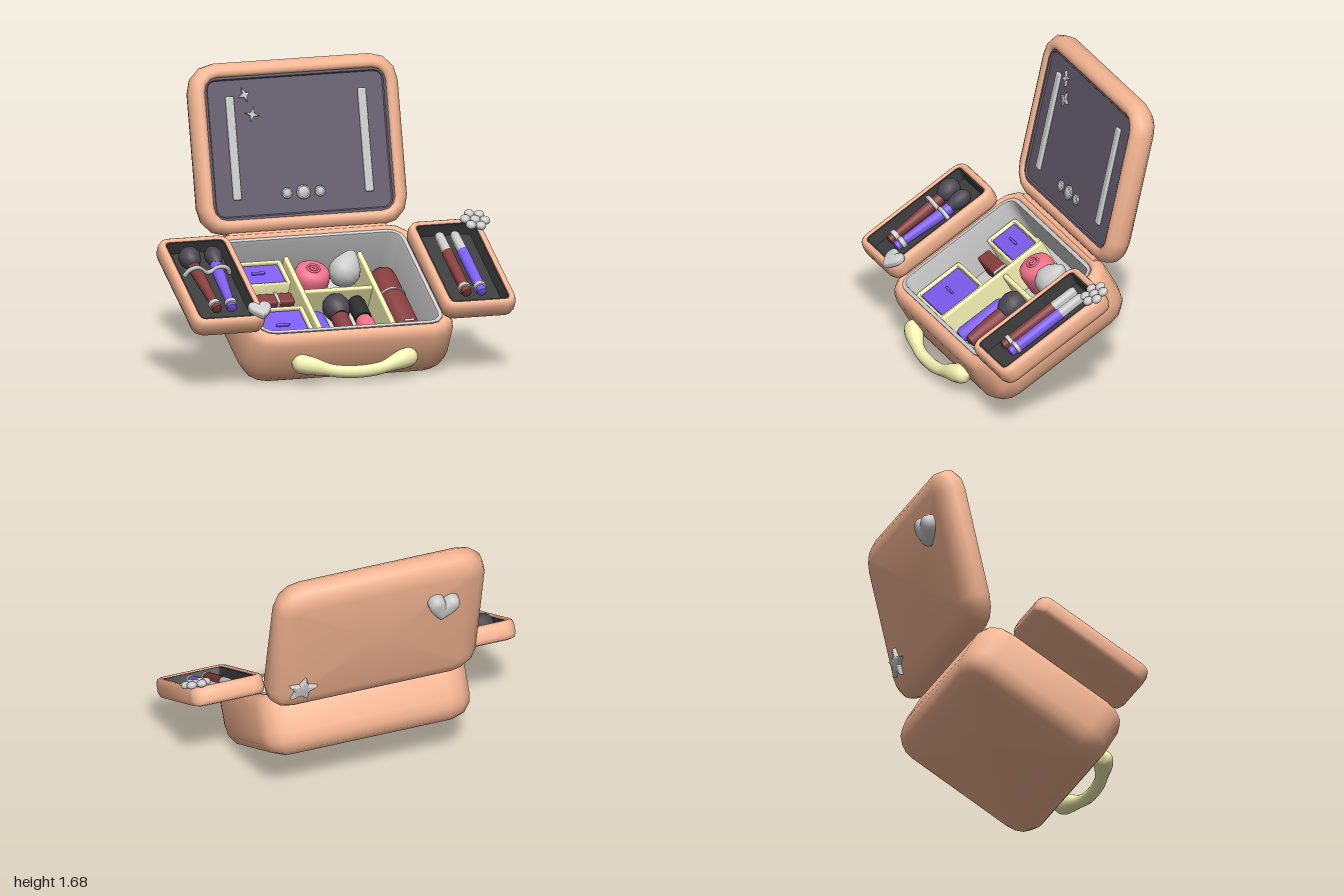
import * as THREE from 'three';
import { toCreasedNormals } from 'three/addons/utils/BufferGeometryUtils.js';
import { RoundedBoxGeometry } from 'three/addons/geometries/RoundedBoxGeometry.js';

const GREY = 0xcccccc, PEACH = 0xf5b592, CREAM = 0xf8f4b4, VIOLET = 0x7c5cf0, PINK = 0xf07088;
const BROWN = 0x853c3c, PLUM = 0x645c6c, CHARCOAL = 0x3c3c3c, BRISTLE = 0x4a4550, BLACK = 0x2c2c2c;
const CX = -0.025; // middle of the case

const materials = {};
function add(parent, name, geometry, color, x = 0, y = 0, z = 0) {
  materials[color] ??= new THREE.MeshStandardMaterial({ color, side: THREE.DoubleSide });
  const mesh = new THREE.Mesh(geometry, materials[color]);
  mesh.name = name;
  mesh.position.set(x, y, z);
  parent.add(mesh);
  return mesh;
}

// Stack of rounded rectangles, each level is [inset, height]; the last one is closed
function shell(w, d, r, levels, capBottom = true, crease = 0.9) {
  const pos = [], idx = [], seg = 3, n = 4 * (seg + 1);
  for (const [inset, y] of levels) {
    const rad = Math.max(r - inset, 0.015), hx = w / 2 - inset - rad, hz = d / 2 - inset - rad;
    for (let c = 0; c < 4; c++) for (let k = 0; k <= seg; k++) {
      const a = (c + k / seg) * Math.PI / 2;
      pos.push((c === 0 || c === 3 ? hx : -hx) + rad * Math.cos(a), y, (c < 2 ? hz : -hz) + rad * Math.sin(a));
    }
  }
  const top = levels.length - 1, centre = levels.length * n;
  pos.push(0, levels[0][1], 0, 0, levels[top][1], 0);
  for (let i = 0; i < n; i++) {
    const j = (i + 1) % n;
    for (let l = 0; l < top; l++) {
      const a = l * n + i, b = l * n + j;
      idx.push(a, a + n, b, b, a + n, b + n);
    }
    if (capBottom) idx.push(centre, i, j);
    idx.push(centre + 1, top * n + j, top * n + i);
  }
  const g = new THREE.BufferGeometry();
  g.setAttribute('position', new THREE.Float32BufferAttribute(pos, 3));
  g.setIndex(idx);
  return toCreasedNormals(g, crease);
}

const lathe = (profile, sides = 20) =>
  toCreasedNormals(new THREE.LatheGeometry(profile.map(p => new THREE.Vector2(...p)), sides), 0.8);

// Turned piece lying along z; the profile is [radius, z]
function rod(parent, name, color, x, y, profile, yaw = 0) {
  const mesh = add(parent, name, lathe(profile).rotateX(Math.PI / 2), color, x, y, 0);
  const z = profile[0][1];
  mesh.geometry.translate(0, 0, -z);
  mesh.position.z = z;
  mesh.rotation.y = yaw;
}

// Puffy ornament lying flat, its top toward -z
function ornament(parent, name, shape, thick, x, y, z, yaw = 0) {
  const b = thick * 0.35;
  const g = new THREE.ExtrudeGeometry(shape, { depth: thick - 2 * b, bevelSize: b, bevelThickness: b, bevelOffset: -b, bevelSegments: 4, curveSegments: 8 });
  g.center().rotateX(-Math.PI / 2);
  add(parent, name, toCreasedNormals(g, 0.7), GREY, x, y, z).rotation.y = yaw;
}
function starShape(points, outer, inner) {
  return new THREE.Shape(Array.from({ length: points * 2 }, (_, i) => {
    const a = Math.PI / 2 + i * Math.PI / points, r = i % 2 ? inner : outer;
    return new THREE.Vector2(r * Math.cos(a), r * Math.sin(a));
  }));
}
function heartShape(s) {
  const h = new THREE.Shape();
  h.moveTo(0, -0.5 * s);
  h.bezierCurveTo(-0.25 * s, -0.3 * s, -0.55 * s, -0.05 * s, -0.5 * s, 0.2 * s);
  h.bezierCurveTo(-0.45 * s, 0.5 * s, -0.1 * s, 0.5 * s, 0, 0.25 * s);
  h.bezierCurveTo(0.1 * s, 0.5 * s, 0.45 * s, 0.5 * s, 0.5 * s, 0.2 * s);
  h.bezierCurveTo(0.55 * s, -0.05 * s, 0.25 * s, -0.3 * s, 0, -0.5 * s);
  return h;
}

function buildCase(g) {
  add(g, 'caseBody', shell(1.26, 0.975, 0.16, [[0.12, 0.16], [0.05, 0.187], [0.01, 0.24], [0, 0.3], [0, 0.47], [0.018, 0.51],
    [0.04, 0.525], [0.06, 0.525], [0.075, 0.512], [0.08, 0.225]]), PEACH, CX, 0, -0.115);
  add(g, 'caseLining', shell(1.26, 0.975, 0.16, [[0.073, 0.48], [0.073, 0.52], [0.095, 0.52], [0.1, 0.5], [0.1, 0.235]], false), GREY, CX, 0, -0.115);

  // Carrying handle: a tube that swells toward its ends
  const half = [[-0.375, 0.36, 0.375], [-0.27, 0.362, 0.42], [-0.13, 0.35, 0.465]];
  const path = new THREE.CatmullRomCurve3([...half, [0, 0.345, 0.475], ...half.map(([x, y, z]) => [-x, y, z]).reverse()]
    .map(p => new THREE.Vector3(...p)));
  const tube = new THREE.TubeGeometry(path, 48, 1, 14), p = tube.attributes.position, v = new THREE.Vector3();
  for (let i = 0; i < p.count; i++) {
    const t = Math.floor(i / 15) / 48, k = Math.abs(2 * t - 1), c = path.getPointAt(t);
    const end = k > 0.85 ? Math.sqrt(Math.max(0, 1 - ((k - 0.85) / 0.15) ** 2)) : 1;
    const r = (0.036 + 0.02 * THREE.MathUtils.smoothstep(k, 0.4, 0.8)) * end;
    v.fromBufferAttribute(p, i).sub(c).multiplyScalar(r).add(c);
    p.setXYZ(i, v.x, v.y, v.z);
  }
  tube.computeVertexNormals();
  add(g, 'carryHandle', tube, CREAM, CX);
}

function buildContents(g) {
  // Drawer boxes
  for (const [z0, z1] of [[-0.46, -0.25], [-0.055, 0.26]]) {
    const d = z1 - z0, z = (z0 + z1) / 2;
    add(g, 'drawerBox', shell(0.34, d, 0.02, [[0, 0.235], [0, 0.405], [0.005, 0.41], [0.015, 0.41], [0.02, 0.405], [0.02, 0.38]]), CREAM, -0.37, 0, z);
    add(g, 'drawerFront', new RoundedBoxGeometry(0.29, 0.03, d - 0.05, 2, 0.01), VIOLET, -0.37, 0.385, z);
    add(g, 'drawerPull', new RoundedBoxGeometry(0.08, 0.02, 0.014, 2, 0.006), VIOLET, -0.37, 0.406, z);
  }
  // Small clasped box
  add(g, 'purse', new RoundedBoxGeometry(0.33, 0.125, 0.085, 3, 0.015), BROWN, -0.365, 0.298, -0.192);
  add(g, 'purseClasp', new RoundedBoxGeometry(0.018, 0.13, 0.09, 2, 0.005), GREY, -0.3, 0.299, -0.192);

  // Dividers
  for (const x of [-0.17, 0.275])
    add(g, 'divider', new RoundedBoxGeometry(0.03, 0.2, 0.73, 3, 0.013), CREAM, x, 0.33, -0.1);
  add(g, 'crossDivider', new RoundedBoxGeometry(0.43, 0.175, 0.03, 3, 0.012), CREAM, 0.052, 0.322, -0.178);

  // Powder compact
  add(g, 'compact', lathe([[0, 0.24], [0.08, 0.24], [0.1, 0.27], [0.104, 0.38], [0.095, 0.412], [0.075, 0.428], [0, 0.432]], 24), PINK, -0.045, 0, -0.338);
  for (const [r, t] of [[0.033, 0.007], [0.013, 0.008]])
    add(g, 'compactRing', new THREE.TorusGeometry(r, t, 8, 20).rotateX(Math.PI / 2), PINK, -0.045, 0.432, -0.338);

  // Teardrop sponge
  const sponge = add(g, 'sponge', lathe([[0, -0.09], [0.045, -0.08], [0.08, -0.048], [0.093, 0], [0.083, 0.042], [0.055, 0.088], [0.025, 0.125], [0, 0.14]], 24),
    GREY, 0.15, 0.39, -0.34);
  sponge.quaternion.setFromUnitVectors(new THREE.Vector3(0, 1, 0), new THREE.Vector3(0.45, 0.5, -0.6).normalize());

  // Loose cosmetics
  rod(g, 'lotionTube', VIOLET, -0.09, 0.3, [[0, -0.09], [0.03, -0.085], [0.044, -0.06], [0.045, 0.21], [0.035, 0.235], [0, 0.24]]);
  rod(g, 'powderBrushHead', BRISTLE, 0.032, 0.335, [[0, -0.185], [0.04, -0.175], [0.07, -0.14], [0.08, -0.1], [0.068, -0.05], [0.045, -0.02], [0, -0.02]]);
  rod(g, 'powderBrushHandle', BROWN, 0.032, 0.32, [[0, -0.03], [0.052, -0.03], [0.05, 0.08], [0.035, 0.22], [0, 0.235]]);
  rod(g, 'glossCap', BLACK, 0.168, 0.32, [[0, -0.16], [0.045, -0.155], [0.052, -0.13], [0.05, 0], [0, 0]]);
  rod(g, 'glossBottle', PINK, 0.168, 0.315, [[0, -0.01], [0.042, -0.01], [0.053, 0.03], [0.053, 0.15], [0.035, 0.22], [0, 0.235]]);

  // Large roll case
  rod(g, 'rollCase', BROWN, 0.388, 0.325, [[0, -0.385], [0.05, -0.375], [0.075, -0.345], [0.08, -0.3], [0.08, 0.23], [0.07, 0.265], [0, 0.28]]);
  rod(g, 'rollCaseBand', GREY, 0.388, 0.325, [[0.078, -0.16], [0.085, -0.158], [0.085, -0.147], [0.078, -0.145]]);
  add(g, 'rollCaseClasp', new RoundedBoxGeometry(0.06, 0.014, 0.016, 2, 0.006), GREY, 0.388, 0.405, 0.13);
}

function buildSideTrays(g) {
  for (const side of [-1, 1]) {
    const x = CX + side * 0.758;
    add(g, 'sideTray', shell(0.44, 0.76, 0.07, [[0.045, 0.525], [0.012, 0.534], [0, 0.56], [0, 0.61], [0.008, 0.632], [0.02, 0.64],
      [0.032, 0.64], [0.044, 0.63], [0.048, 0.545]]), PEACH, x, 0, -0.075);
    add(g, 'trayLining', shell(0.44, 0.76, 0.07, [[0.04, 0.632], [0.05, 0.632], [0.058, 0.56]], false), CHARCOAL, x, 0, -0.075);
  }
  // Brushes in the right tray, held by a strap
  for (const [x, r, color, yaw] of [[-0.855, 0.064, BROWN, 0.05], [-0.703, 0.051, VIOLET, -0.07]]) {
    rod(g, 'brushHead', BRISTLE, x, 0.625, [[0, -0.345], [r * 0.6, -0.335], [r * 0.95, -0.305], [r, -0.275], [r * 0.8, -0.235], [0.028, -0.205], [0, -0.2]], yaw);
    rod(g, 'brushHandle', color, x + yaw * 0.14, 0.615, [[0, -0.22], [0.036, -0.21], [0.034, -0.1], [0.025, 0.12], [0.028, 0.17], [0, 0.18]], yaw);
    rod(g, 'brushRing', GREY, x + yaw * 0.43, 0.615, [[0.025, 0.11], [0.034, 0.113], [0.034, 0.14], [0.025, 0.143]], yaw);
  }
  const strap = [[-0.92, 0.6], [-0.895, 0.64], [-0.85, 0.656], [-0.78, 0.615], [-0.71, 0.652], [-0.67, 0.64], [-0.645, 0.6]]
    .map(([x, y]) => new THREE.Vector3(x, y, -0.155));
  add(g, 'brushStrap', new THREE.TubeGeometry(new THREE.CatmullRomCurve3(strap), 32, 0.013, 8), GREY);

  // Capped pencils in the left tray
  for (const [x, color] of [[0.685, BROWN], [0.778, VIOLET]]) {
    rod(g, 'pencilCap', GREY, x, 0.605, [[0, -0.355], [0.022, -0.353], [0.028, -0.34], [0.03, -0.19], [0, -0.19]]);
    rod(g, 'pencil', color, x, 0.605, [[0, -0.195], [0.033, -0.195], [0.032, 0.1], [0.026, 0.165], [0, 0.175]]);
    rod(g, 'pencilRing', GREY, x, 0.605, [[0.028, 0.105], [0.037, 0.108], [0.037, 0.13], [0.028, 0.133]]);
  }

  // Tray ornaments
  ornament(g, 'trayHeart', heartShape(0.135), 0.045, -0.6, 0.655, 0.25, 0.05);
  for (let i = 0; i < 7; i++) {
    const a = i * Math.PI / 3 + 0.2, r = i < 6 ? 0.057 : 0;
    const petal = add(g, i < 6 ? 'flowerPetal' : 'flowerCentre', new THREE.SphereGeometry(0.03, 14, 10), GREY,
      0.91 + r * Math.cos(a), 0.66, -0.4 + r * Math.sin(a));
    petal.scale.y = 0.75;
  }
}

function buildLid(g) {
  const z = -1.258;
  add(g, 'lidShell', shell(1.26, 0.975, 0.16, [[0.12, -0.215], [0.05, -0.2], [0.01, -0.168], [0, -0.135], [0, -0.09], [0.025, -0.058],
    [0.045, -0.05], [0.065, -0.05], [0.08, -0.06], [0.085, -0.085]]), PEACH, CX, 0, z);
  add(g, 'lidPanel', shell(1.1, 0.815, 0.07, [[0, -0.1], [0, -0.066], [0.015, -0.066], [0.022, -0.075]]), PLUM, CX, 0, z);
  for (const side of [-1, 1])
    add(g, 'lidStrip', new RoundedBoxGeometry(0.05, 0.022, 0.59, 3, 0.01), GREY, CX + side * 0.4, -0.07, z);
  // Small trims inside the lid
  ornament(g, 'twinkle', starShape(4, 0.045, 0.016), 0.018, -0.335, -0.068, -1.556, 0.35);
  ornament(g, 'twinkle', starShape(4, 0.045, 0.016), 0.018, -0.298, -0.068, -1.443, -0.25);
  for (const [dx, r] of [[-0.1, 0.029], [0, 0.04], [0.1, 0.029]]) {
    add(g, 'stud', lathe([[0, -0.08], [r, -0.08], [r, -0.068], [r * 0.8, -0.06], [0, -0.056]], 16), GREY, CX + dx, 0, -0.986);
    add(g, 'studRing', new THREE.TorusGeometry(r * 0.9, 0.006, 6, 20).rotateX(Math.PI / 2), GREY, CX + dx, -0.064, -0.986);
  }
  // Ornaments on the outside of the lid
  ornament(g, 'lidHeart', heartShape(0.185), 0.11, -0.38, -0.225, -1.44, 0.2);
  ornament(g, 'lidStar', starShape(5, 0.09, 0.046), 0.04, 0.42, -0.22, -0.977, 0.2);
}

export function createModel() {
  const root = new THREE.Group();
  root.name = 'vanityCase';
  const section = (name, angle, ...builders) => {
    const g = new THREE.Group();
    g.name = name;
    g.rotation.x = THREE.MathUtils.degToRad(angle);
    builders.forEach(b => b(g));
    root.add(g);
  };
  section('case', 30, buildCase, buildContents, buildSideTrays);
  section('lid', 77, buildLid);
  add(root, 'hinge', new THREE.CylinderGeometry(0.02, 0.02, 0.95, 12).rotateZ(Math.PI / 2), PEACH, CX, 0.725, -0.24);
  return root;
}
